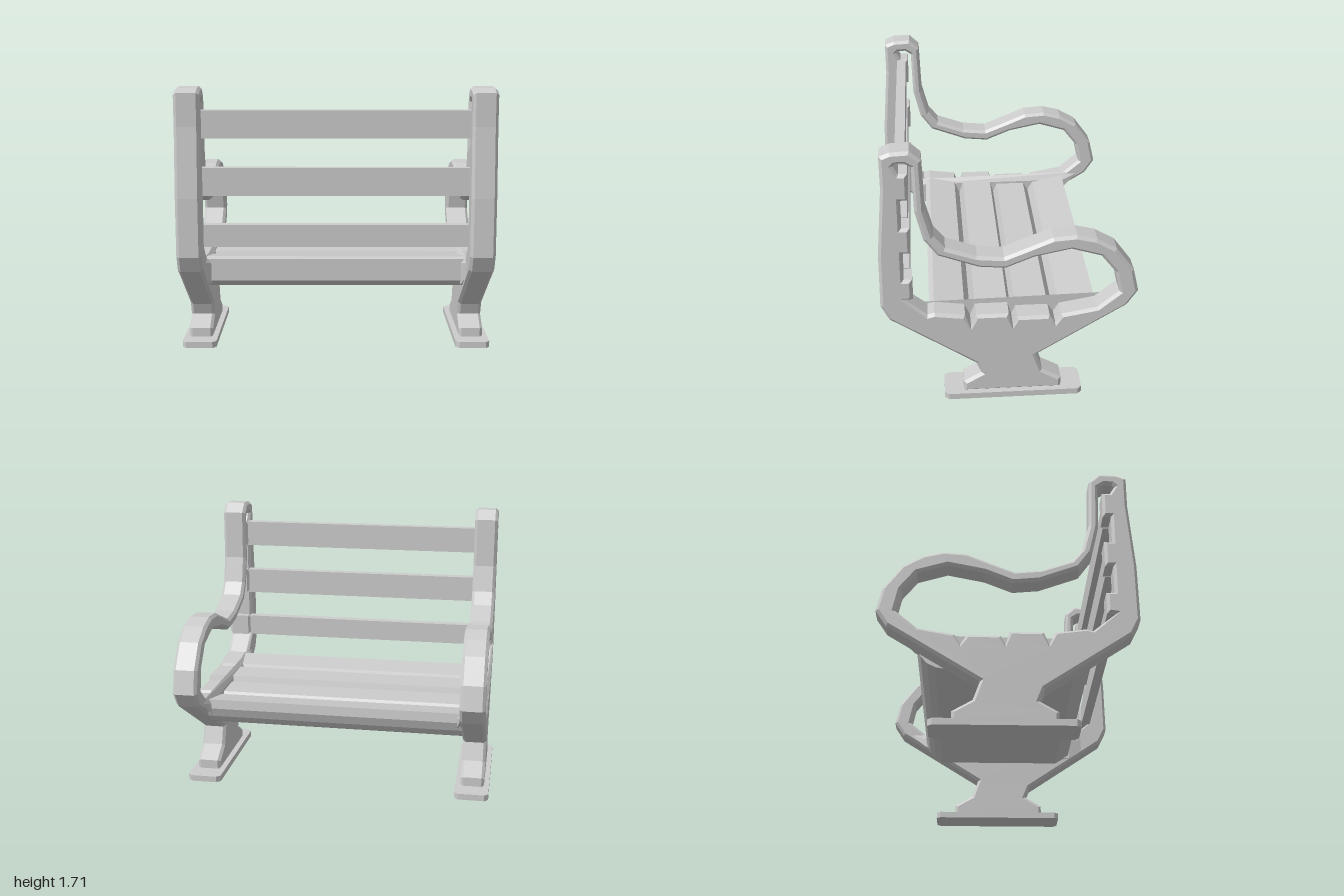
import * as THREE from 'three';
import { ConvexGeometry } from 'three/addons/geometries/ConvexGeometry.js';

const material = new THREE.MeshStandardMaterial({ color: 0xcccccc, flatShading: true });
const vectors = (points) => points.map(([a, b]) => new THREE.Vector2(a, b));

function part(name, geometry, parent) {
  const mesh = new THREE.Mesh(geometry, material);
  mesh.name = name;
  parent.add(mesh);
  return mesh;
}

// Extrudes a [z, y] outline across x, centred on x = 0
function extrudeAcross(shape, width, bevel = 0) {
  const depth = width - 2 * bevel;
  const geometry = new THREE.ExtrudeGeometry(shape, {
    depth, bevelEnabled: bevel > 0, bevelSegments: 1,
    bevelThickness: bevel, bevelSize: bevel, bevelOffset: -bevel,
  });
  return geometry.translate(0, 0, -depth / 2).rotateY(-Math.PI / 2);
}

// Bottom and top of each backrest slat
const slatHeights = [[0.73, 0.87], [1.05, 1.22], [1.40, 1.57]];

// Top line of the seat, front to back, with V grooves between the boards
const seatTop = [
  [-0.53, 0.62], [-0.31, 0.58], [-0.275, 0.52], [-0.24, 0.575],
  [-0.04, 0.575], [-0.015, 0.515], [0.01, 0.60],
  [0.21, 0.60], [0.24, 0.52], [0.275, 0.60], [0.46, 0.625], [0.5, 0.615],
];

// Cast end frame: foot, web, back post and armrest loop
function frameShape() {
  const shape = new THREE.Shape(vectors([
    [0.29, 0.03], [0.29, 0.10], [0.18, 0.165], [0.21, 0.24],
    [0.73, 0.59], [0.78, 0.69], [0.775, 1.05], [0.74, 1.48],
    [0.74, 1.68], [0.68, 1.705], [0.57, 1.71], [0.505, 1.65],
    [0.495, 1.33], [0.45, 1.16], [0.385, 1.08], [0.2, 1.015], [0.04, 1.0],
    [-0.12, 1.065], [-0.25, 1.12], [-0.39, 1.13], [-0.51, 1.10], [-0.63, 1.03],
    [-0.74, 0.88], [-0.775, 0.73], [-0.71, 0.63],
    [-0.16, 0.285], [-0.20, 0.17], [-0.32, 0.10], [-0.32, 0.03],
  ]));
  // Toothed inner edge of the back post, one tooth per slat
  const teeth = slatHeights.flatMap(([low, high], i) => [
    [i ? 0.635 : 0.64, low], [0.585, low], [0.585, high], [0.635, high],
  ]);
  shape.holes.push(new THREE.Path(vectors([
    ...seatTop, ...teeth,
    [0.665, 1.62], [0.65, 1.635], [0.60, 1.635], [0.562, 1.61],
    [0.555, 1.33], [0.51, 1.14], [0.43, 1.03], [0.19, 0.94], [0.03, 0.925],
    [-0.14, 0.995], [-0.36, 1.04], [-0.54, 0.985], [-0.63, 0.87], [-0.66, 0.73],
  ])));
  return shape;
}

// Base plate with clipped corners
function basePlate() {
  const x = 0.11, z = 0.43, c = 0.025;
  const shape = new THREE.Shape(vectors([
    [-x + c, -z], [x - c, -z], [x, -z + c], [x, z - c],
    [x - c, z], [-x + c, z], [-x, z - c], [-x, -z + c],
  ]));
  return new THREE.ExtrudeGeometry(shape, { depth: 0.04, bevelEnabled: false })
    .rotateX(-Math.PI / 2).translate(0, 0, -0.02);
}

// Swelling on the inner face of a frame where the seat meets it
function seatBracket(side) {
  const points = [
    [0.82, 0.64, -0.67], [0.82, 0.60, -0.62], [0.79, 0.53, -0.54], [0.79, 0.59, -0.54],
    [0.82, 0.61, -0.54], [0.79, 0.45, 0.50], [0.79, 0.59, 0.50],
    [0.82, 0.55, 0.62], [0.82, 0.62, 0.62], [0.82, 0.44, 0.30], [0.82, 0.44, -0.35],
  ];
  return new ConvexGeometry(points.map(([x, y, z]) => new THREE.Vector3(side * x, y, z)));
}

export function createModel() {
  const bench = new THREE.Group();
  bench.name = 'bench';

  // Two end frames on base plates
  const frameGeometry = extrudeAcross(frameShape(), 0.155, 0.018);
  for (const side of [1, -1]) {
    const end = new THREE.Group();
    end.name = side > 0 ? 'leftEnd' : 'rightEnd';
    part('endFrame', frameGeometry, end).position.x = side * 0.89;
    part('basePlate', basePlate(), end).position.x = side * 0.89;
    part('seatBracket', seatBracket(side), end);
    bench.add(end);
  }

  // Seat slab with grooved top and rolled front edge
  const seat = new THREE.Shape(vectors([
    ...seatTop.slice(0, -1), [0.49, 0.615], [0.49, 0.475], [0.40, 0.42],
    [-0.36, 0.42], [-0.42, 0.43], [-0.47, 0.455], [-0.51, 0.50], [-0.535, 0.56],
  ]));
  part('seat', extrudeAcross(seat, 1.64), bench);

  // Backrest slats
  for (const [low, high] of slatHeights) {
    part('backSlat', new THREE.BoxGeometry(1.64, high - low, 0.06), bench)
      .position.set(0, (low + high) / 2, 0.63);
  }
  return bench;
}
